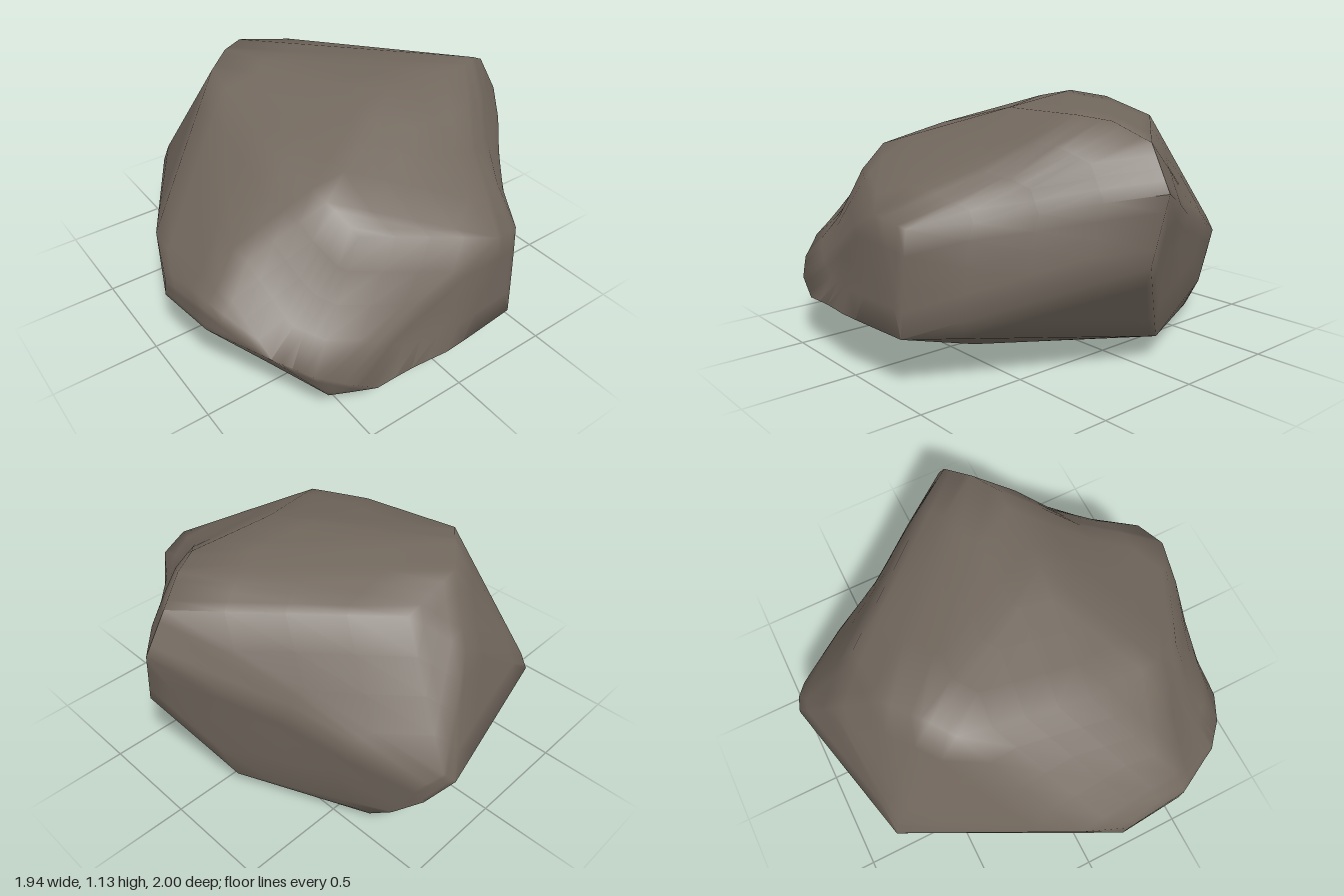
import * as THREE from 'three';
import { ConvexGeometry } from 'three/addons/geometries/ConvexGeometry.js';
import { toCreasedNormals } from 'three/addons/utils/BufferGeometryUtils.js';

// Corner points of the boulder, grouped by region (x, y, z)
const crown = [
  [-0.38, 1.10, -0.40], [-0.25, 1.13, -0.50], [-0.10, 1.10, -0.62], [0.20, 1.02, -0.63],
  [0.05, 0.87, -0.82], [0.15, 1.11, 0.26], [0.59, 1.11, 0.27], [0.72, 1.09, 0.20],
  [0.86, 1.01, 0.12], [-0.45, 0.99, 0.20], [-0.42, 0.92, 0.57],
];
const frontFace = [
  [0.16, 0.73, 0.97], [0.32, 0.69, 0.93], [0.31, 0.24, 0.96], [-0.10, 0.25, 1.00],
  [-0.45, 0.23, 0.97], [-0.56, 0.30, 0.95], [-0.62, 0.20, 0.86], [-0.37, 0.82, 0.72],
];
const rightFlank = [
  [-0.70, 0.36, 0.87], [-0.82, 0.43, 0.75], [-0.87, 0.65, 0.46], [-0.95, 0.56, 0.47],
  [-0.95, 0.45, 0.47], [-0.975, 0.42, 0.15], [-0.975, 0.51, 0.17], [-0.90, 0.60, -0.05],
];
const leftFlank = [
  [0.97, 0.82, 0.13], [0.945, 0.53, 0.20], [0.73, 0.11, -0.10], [0.70, 0.13, 0.02],
];
const back = [
  [-0.50, 0.44, -0.81], [-0.48, 0.53, -0.78], [0.28, 0.40, -1.00], [0.33, 0.46, -0.97],
  [0.41, 0.41, -0.92], [0.38, 0.29, -0.92], [0.43, 0.16, -0.79],
];
const underside = [
  [0.44, 0.06, -0.67], [0.05, 0.00, 0.40], [-0.57, 0.03, -0.36],
];

// Shallow hollows: centre, inward push, radius
const hollows = [
  { at: [0.48, 0.84, 0.62], push: [-0.03, -0.03, -0.035], radius: 0.24 },
  { at: [-0.62, 0.62, 0.72], push: [0.025, -0.02, -0.035], radius: 0.22 },
  { at: [-0.28, 0.42, 0.96], push: [0, 0, -0.04], radius: 0.16 },
  { at: [0.72, 0.60, -0.35], push: [-0.03, 0, 0.015], radius: 0.25 },
].map(h => ({ ...h, at: new THREE.Vector3(...h.at), push: new THREE.Vector3(...h.push) }));

// Split every triangle into four
function subdivide(points) {
  const out = [];
  for (let i = 0; i < points.length; i += 3) {
    const [a, b, c] = points.slice(i, i + 3);
    const ab = a.clone().add(b).multiplyScalar(0.5);
    const bc = b.clone().add(c).multiplyScalar(0.5);
    const ca = c.clone().add(a).multiplyScalar(0.5);
    out.push(a, ab, ca, ab, b, bc, ca, bc, c, ab, bc, ca);
  }
  return out;
}

function carve(point) {
  const p = point.clone();
  for (const { at, push, radius } of hollows) {
    p.addScaledVector(push, Math.exp(-((point.distanceTo(at) / radius) ** 2)));
  }
  return p;
}

export function createModel() {
  const stone = new THREE.MeshStandardMaterial({ color: 0x71675d });
  stone.name = 'stone';

  const corners = [crown, frontFace, rightFlank, leftFlank, back, underside]
    .flat().map(p => new THREE.Vector3(...p));

  // Tight shell over the corners, refined and hollowed
  const shell = new ConvexGeometry(corners).getAttribute('position');
  let points = Array.from({ length: shell.count }, (_, i) => new THREE.Vector3().fromBufferAttribute(shell, i));
  for (let level = 0; level < 2; level++) points = subdivide(points);
  const surface = new THREE.BufferGeometry().setFromPoints(points.map(carve));

  const boulder = new THREE.Mesh(toCreasedNormals(surface, 1.2), stone);
  boulder.name = 'boulder';

  const group = new THREE.Group();
  group.name = 'rock';
  group.add(boulder);
  return group;
}
